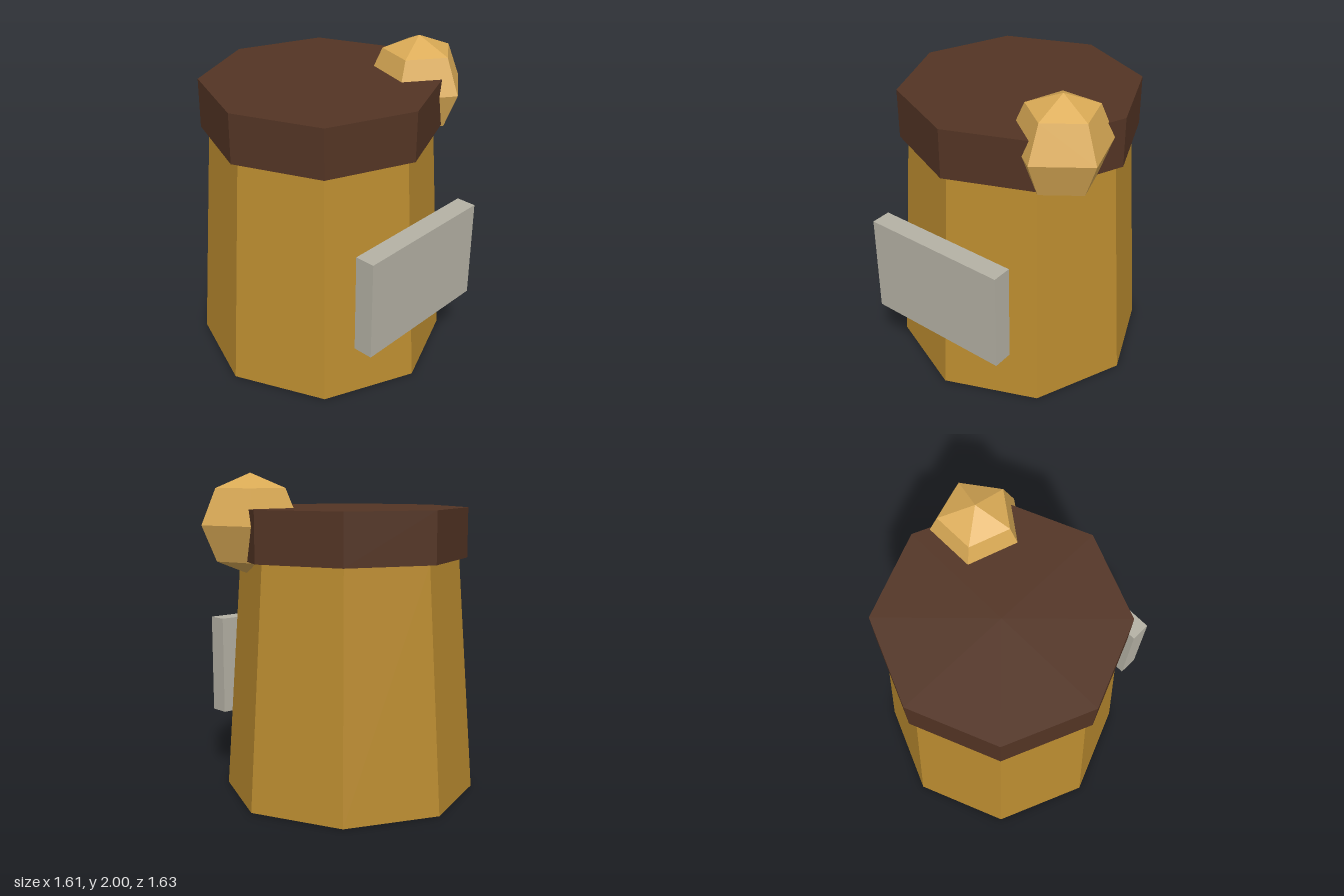
import * as THREE from 'three';

export function createModel() {
  const model = new THREE.Group();
  const paint = (name, color) => {
    const m = new THREE.MeshStandardMaterial({ color });
    m.name = name;
    m.flatShading = true;
    return m;
  };
  const amber = paint('amber body', 0xba8b2f);
  amber.side = THREE.DoubleSide;
  const brown = paint('dark brown lid', 0x533424);
  const gold = paint('pale gold knob', 0xdbab56);
  const grey = paint('warm grey plate', 0xb5b2a5);

  const add = (name, geometry, material, x, y, z) => {
    const mesh = new THREE.Mesh(geometry, material);
    mesh.name = name;
    mesh.position.set(x, y, z);
    model.add(mesh);
    return mesh;
  };

  // tapered eight-sided shell, open underneath
  add('body', new THREE.CylinderGeometry(0.685, 0.79, 1.48, 8, 1, true), amber, -0.02, 0.74, -0.027);

  // straight-sided lid overhanging the body
  add('lid', new THREE.CylinderGeometry(0.735, 0.735, 0.31, 8), brown, -0.02, 1.635, -0.027);

  // faceted knob sunk into the rim of the lid, one corner facing forward
  add('knob', new THREE.SphereGeometry(0.31, 5, 4, Math.PI / 2), gold, 0.505, 1.69, 0.285);

  // thick plate on the front
  add('frontPlate', new THREE.BoxGeometry(0.94, 0.63, 0.125), grey, -0.02, 0.74, 0.752);

  return model;
}
